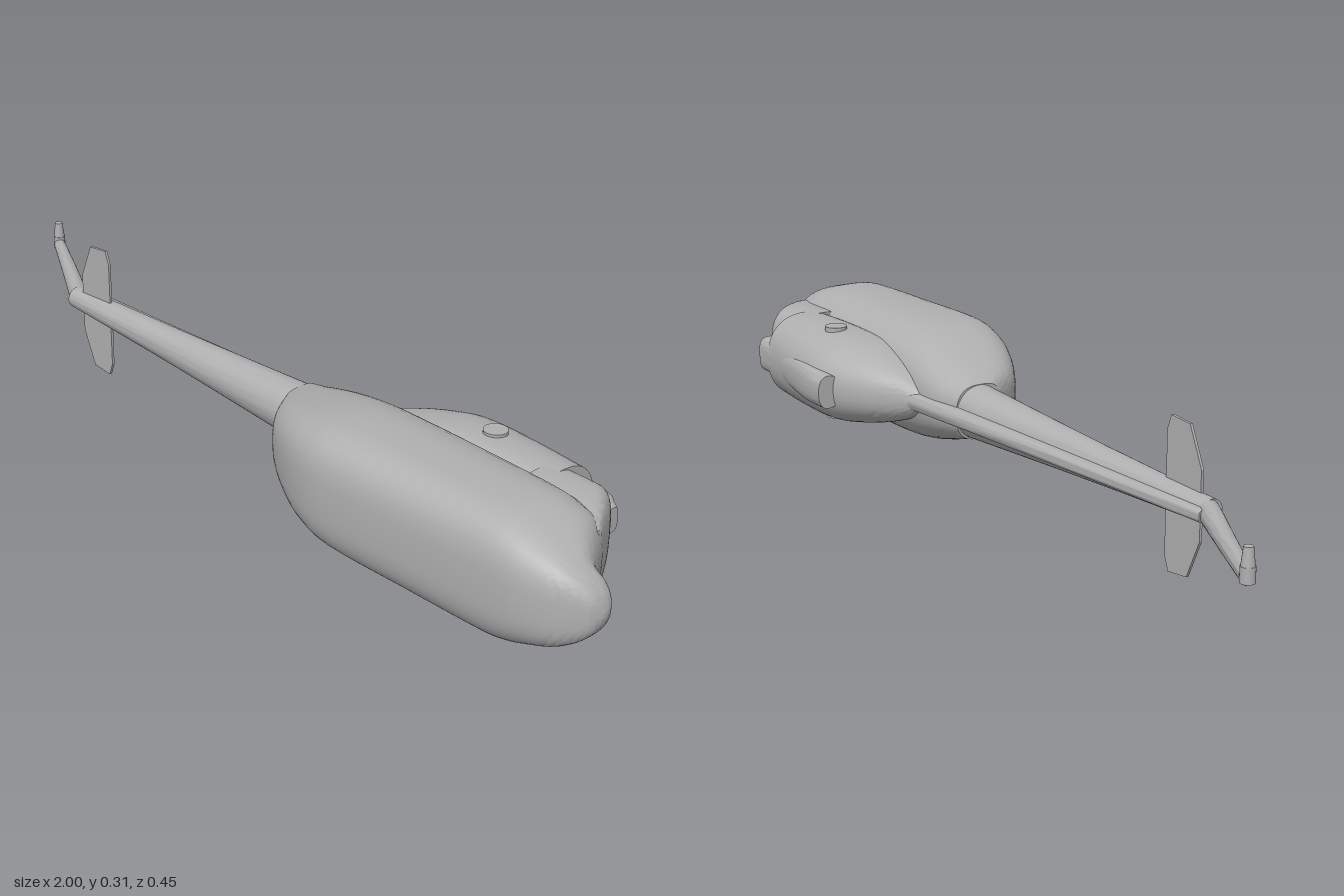
import * as THREE from 'three';
import { toCreasedNormals } from 'three/addons/utils/BufferGeometryUtils.js';

const MID = 0.155; // height of the symmetry plane
const SEG = 48;

// Skin over cross-sections along x. Each station: [x, zTop, zWidest, zBottom, halfWidth].
// nTop and nBottom set how square each half of the section is.
function loft(stations, nTop = 2, nBottom = 2, sub = 5, crease = 0.7) {
  const spline = (a, b) => new THREE.SplineCurve(stations.map((s) => new THREE.Vector2(s[a], s[b])));
  const curves = [spline(0, 1), spline(2, 3), spline(4, 0)];
  const rows = (stations.length - 1) * sub;
  const pos = [];
  const index = [];
  const power = (v, n) => Math.sign(v) * Math.pow(Math.abs(v), 2 / n);
  for (let i = 0; i <= rows; i++) {
    const [p, q, r] = curves.map((c) => c.getPoint(i / rows));
    for (let j = 0; j < SEG; j++) {
      const a = (j / SEG) * Math.PI * 2;
      const lower = Math.sin(a) > 0;
      const n = lower ? nBottom : nTop;
      const reach = lower ? q.y - q.x : q.x - p.y;
      pos.push(p.x, MID + r.x * power(Math.cos(a), n), q.x + reach * power(Math.sin(a), n));
    }
  }
  for (let i = 0; i < rows; i++) {
    for (let j = 0; j < SEG; j++) {
      const k = (j + 1) % SEG;
      const a = i * SEG + j, b = i * SEG + k;
      index.push(a, b, a + SEG, b, b + SEG, a + SEG);
    }
  }
  // end caps
  const first = stations[0], last = stations[stations.length - 1];
  const c0 = pos.length / 3;
  pos.push(first[0], MID, first[2], last[0], MID, last[2]);
  for (let j = 0; j < SEG; j++) {
    const k = (j + 1) % SEG;
    index.push(c0, k, j, c0 + 1, rows * SEG + j, rows * SEG + k);
  }
  const g = new THREE.BufferGeometry();
  g.setAttribute('position', new THREE.Float32BufferAttribute(pos, 3));
  g.setIndex(index);
  return toCreasedNormals(g, crease);
}

export function createModel() {
  const model = new THREE.Group();
  const grey = new THREE.MeshStandardMaterial({ color: 0xb0b0b0 });
  grey.name = 'plain grey';
  const add = (name, geometry) => {
    const mesh = new THREE.Mesh(geometry, grey);
    mesh.name = name;
    model.add(mesh);
    return mesh;
  };

  // cabin hull with the bulbous nose
  add('hull', loft([
    [0.08, -0.07, -0.012, 0.046, 0.06],
    [0.12, -0.075, 0.02, 0.105, 0.073],
    [0.16, -0.08, 0.04, 0.14, 0.086],
    [0.22, -0.08, 0.06, 0.177, 0.104],
    [0.29, -0.075, 0.08, 0.207, 0.121],
    [0.38, -0.07, 0.1, 0.223, 0.132],
    [0.58, -0.06, 0.1, 0.225, 0.133],
    [0.77, -0.045, 0.1, 0.225, 0.133],
    [0.83, -0.035, 0.1, 0.224, 0.125],
    [0.87, -0.02, 0.1, 0.22, 0.113],
    [0.91, 0.04, 0.118, 0.21, 0.097],
    [0.94, 0.084, 0.135, 0.198, 0.08],
    [0.97, 0.09, 0.14, 0.178, 0.058],
    [0.99, 0.104, 0.137, 0.16, 0.034],
    [1.0, 0.125, 0.13, 0.137, 0.004],
  ], 2.6, 3.2));

  // engine cowling, ending forward in the intake face
  add('engineCowling', loft([
    [0.2, -0.085, -0.07, -0.04, 0.015],
    [0.25, -0.112, -0.07, -0.03, 0.045],
    [0.32, -0.155, -0.07, -0.02, 0.07],
    [0.4, -0.19, -0.07, 0, 0.089],
    [0.47, -0.204, -0.07, 0, 0.098],
    [0.6, -0.19, -0.07, 0, 0.102],
    [0.725, -0.172, -0.07, 0, 0.1],
  ], 2.3, 3));

  // sloping windscreen roof below the intakes
  add('windscreenRoof', loft([
    [0.69, -0.125, -0.04, 0.05, 0.101],
    [0.77, -0.125, -0.04, 0.05, 0.1],
    [0.805, -0.118, -0.04, 0.05, 0.099],
    [0.835, -0.085, -0.02, 0.05, 0.097],
    [0.87, -0.025, 0.01, 0.05, 0.09],
    [0.89, 0.01, 0.025, 0.06, 0.08],
  ], 3, 3));

  // central fairing between the two intakes
  add('intakeFairing', loft([
    [0.64, -0.182, -0.13, -0.08, 0.036],
    [0.75, -0.17, -0.132, -0.095, 0.042],
    [0.775, -0.167, -0.132, -0.098, 0.041],
    [0.79, -0.157, -0.13, -0.102, 0.034],
    [0.803, -0.15, -0.13, -0.108, 0.027],
  ], 3.5, 3.5));

  // rear-facing exhaust duct on top of the cowling
  add('topExhaust', loft([
    [0.395, -0.225, -0.2, -0.17, 0.037],
    [0.5, -0.213, -0.19, -0.16, 0.042],
    [0.64, -0.185, -0.165, -0.14, 0.036],
  ], 2.4, 2.4));

  // round outlet on each side of the cowling
  for (const side of [-1, 1]) {
    const outlet = add(side > 0 ? 'upperSideOutlet' : 'lowerSideOutlet',
      new THREE.CylinderGeometry(0.025, 0.025, 0.04, 32));
    outlet.position.set(0.54, MID + side * 0.087, -0.093);
  }

  // tapering tail boom and drive shaft ridge
  add('tailBoom', loft([
    [-0.7, -0.057, -0.03, -0.004, 0.025],
    [-0.3, -0.06, -0.0215, 0.018, 0.041],
    [0.12, -0.071, -0.011, 0.05, 0.061],
  ]));
  add('driveShaftRidge', loft([
    [-0.71, -0.069, -0.05, -0.035, 0.013],
    [-0.2, -0.084, -0.06, -0.035, 0.016],
    [0.26, -0.1, -0.07, -0.035, 0.02],
  ], 3.5, 3));

  // raked tail pylon with the tail rotor shaft
  add('tailPylon', loft([
    [-0.985, -0.211, -0.196, -0.18, 0.015],
    [-0.84, -0.135, -0.115, -0.094, 0.019],
    [-0.7, -0.06, -0.036, -0.011, 0.024],
    [-0.675, -0.047, -0.03, -0.006, 0.024],
  ]));
  add('tailRotorHub', new THREE.CylinderGeometry(0.014, 0.014, 0.03, 24)).position.set(-0.986, 0.161, -0.197);
  add('tailRotorShaft', new THREE.CylinderGeometry(0.009, 0.013, 0.036, 24)).position.set(-0.986, 0.193, -0.197);

  // stabiliser plate through the end of the boom
  const half = [[-0.565, 0.125], [-0.576, 0.155], [-0.63, 0.15], [-0.665, 0.07]];
  const outline = [...half, ...half.map(([x, y]) => [x, -y]).reverse()];
  const plate = new THREE.ExtrudeGeometry(
    new THREE.Shape(outline.map(([x, y]) => new THREE.Vector2(x, y))),
    { depth: 0.006, bevelEnabled: false });
  add('stabiliser', plate).position.set(0, MID, -0.027);

  return model;
}
